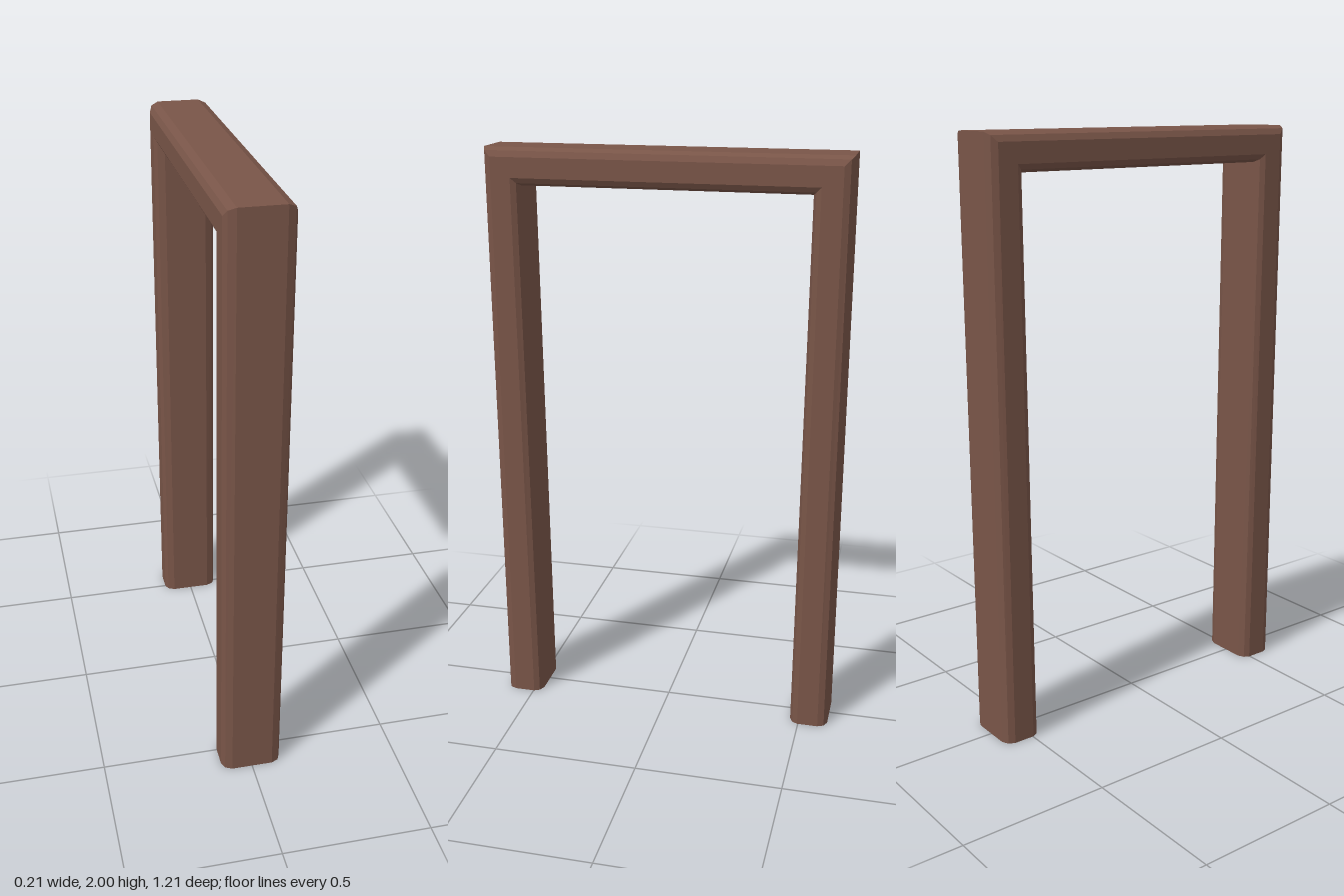
import * as THREE from 'three';

export function createModel() {
  const group = new THREE.Group();

  // Beam cross-section: [x, v], v running from the outer (0) to the inner (1) face
  const half = [[0.072, 0], [0.096, 0.08], [0.106, 0.24], [0.106, 0.78], [0.096, 0.92], [0.072, 1]];
  const section = [...half, ...half.map(([x, v]) => [-x, v]).reverse()];

  // Mitred stations along the frame: outer and inner edge as [z, y], plus width scale
  const stations = [
    { outer: [0.602, 0], inner: [0.468, 0], width: 0.97 },
    { outer: [0.604, 2], inner: [0.48, 1.877], width: 1 },
    { outer: [-0.604, 2], inner: [-0.48, 1.877], width: 1 },
    { outer: [-0.602, 0], inner: [-0.468, 0], width: 0.97 },
  ];
  const rings = stations.map(({ outer, inner, width }) => section.map(([x, v]) => [
    x * width,
    THREE.MathUtils.lerp(outer[1], inner[1], v),
    THREE.MathUtils.lerp(outer[0], inner[0], v),
  ]));

  const material = new THREE.MeshStandardMaterial({ color: 0x795548, flatShading: true });
  const n = section.length;
  const names = ['frontPost', 'lintel', 'backPost'];

  names.forEach((name, i) => {
    const a = rings[i], b = rings[i + 1], pos = [];
    const tri = (...corners) => corners.forEach((p) => pos.push(...p));
    // Sides of the beam
    for (let j = 0; j < n; j++) {
      const k = (j + 1) % n;
      tri(a[j], a[k], b[k]);
      tri(a[j], b[k], b[j]);
    }
    // Feet of the posts
    for (let j = 1; j < n - 1; j++) {
      if (i === 0) tri(a[0], a[j + 1], a[j]);
      if (i === 2) tri(b[0], b[j], b[j + 1]);
    }
    const geometry = new THREE.BufferGeometry();
    geometry.setAttribute('position', new THREE.Float32BufferAttribute(pos, 3));
    geometry.computeVertexNormals();
    const mesh = new THREE.Mesh(geometry, material);
    mesh.name = name;
    group.add(mesh);
  });

  group.name = 'doorFrame';
  return group;
}
